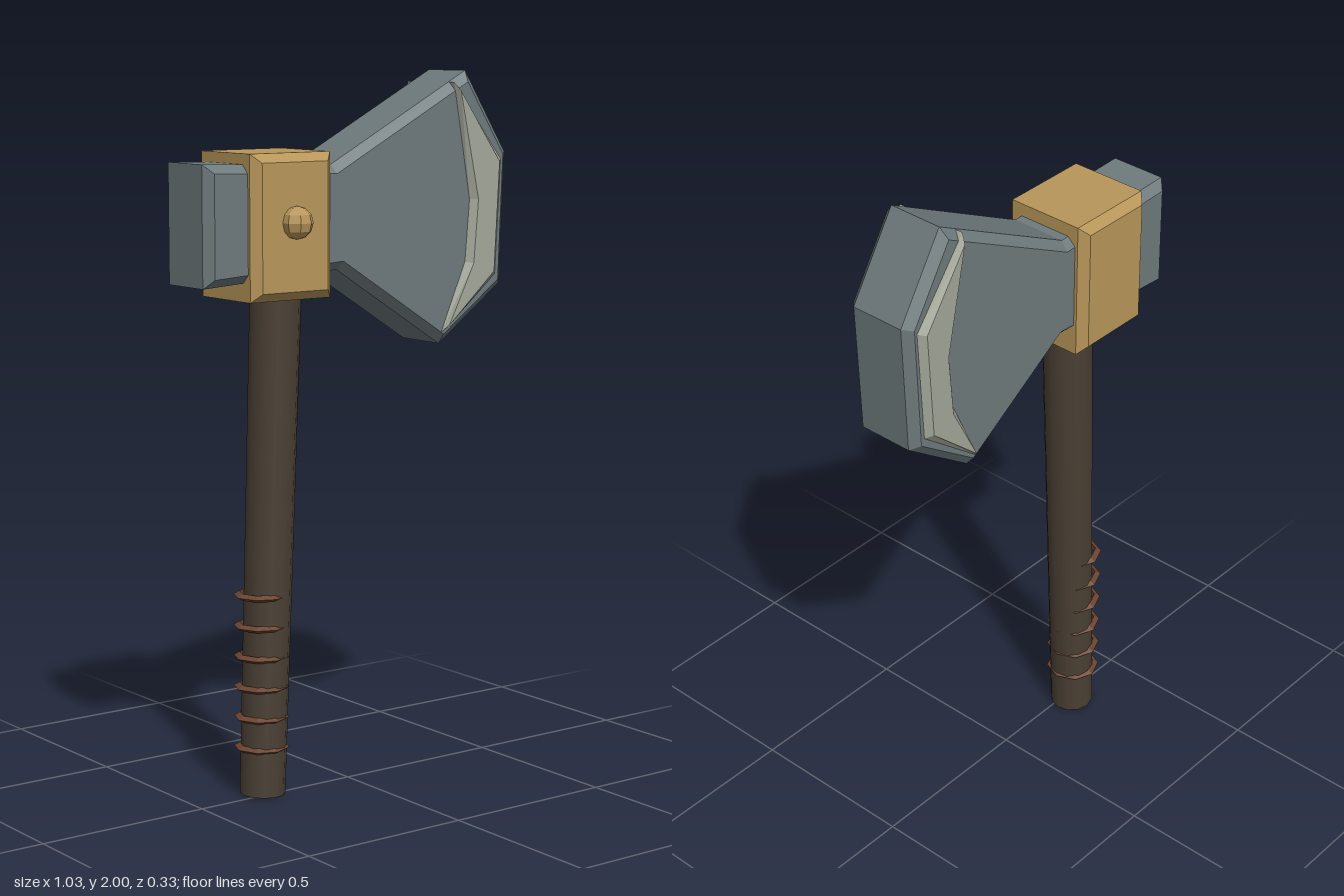
import * as THREE from 'three';

const ZC = -0.026; // middle plane of the axe
const mat = (color, flatShading = true) => {
  const m = new THREE.MeshStandardMaterial({ color });
  m.flatShading = flatShading;
  return m;
};

// Chamfered slab: outline is the outer edge, half is the half thickness
function slab(name, points, half, bevel, material) {
  const shape = new THREE.Shape(points.map(([x, y]) => new THREE.Vector2(x, y)));
  const geo = new THREE.ExtrudeGeometry(shape, {
    depth: 2 * (half - bevel), bevelEnabled: true, bevelSegments: 1,
    bevelSize: bevel, bevelThickness: bevel, bevelOffset: -bevel,
  });
  geo.translate(0, 0, ZC - half + bevel);
  const mesh = new THREE.Mesh(geo, material);
  mesh.name = name;
  return mesh;
}

export function createModel() {
  const axe = new THREE.Group();
  axe.name = 'axe';
  const steel = mat(0x6e7a7c), brass = mat(0xb8965a), edge = mat(0xa3a799);
  const wood = mat(0x4a4034, false), cord = mat(0x6b4430);

  // Head: square poll on the left, flared blade on the right
  axe.add(slab('head', [
    [-0.518, 1.437], [-0.08, 1.465], [0.28, 1.235], [0.5, 1.395],
    [0.516, 1.77], [0.37, 2.0], [-0.1, 1.752], [-0.518, 1.765],
  ], 0.105, 0.024, steel));

  // Pale cutting edge standing proud of both blade faces
  axe.add(slab('cuttingEdge', [
    [0.27, 1.27], [0.465, 1.425], [0.483, 1.75], [0.312, 1.968],
    [0.37, 1.64], [0.355, 1.465],
  ], 0.123, 0.018, edge));

  // Collar wrapped around the head
  axe.add(slab('collar', [
    [-0.389, 1.395], [-0.126, 1.395], [-0.126, 1.79], [-0.389, 1.79],
  ], 0.138, 0.024, brass));

  // Stud on the collar front
  const stud = new THREE.Mesh(new THREE.SphereGeometry(0.045, 8, 6), brass);
  stud.name = 'stud';
  stud.rotation.y = Math.PI / 8;
  stud.position.set(-0.258, 1.605, 0.12);
  axe.add(stud);

  // Slightly leaning, tapered handle
  const foot = new THREE.Vector3(-0.283, 0.003, -0.02);
  const top = new THREE.Vector3(-0.224, 1.55, -0.022);
  const axis = top.clone().sub(foot);
  const handle = new THREE.Mesh(
    new THREE.CylinderGeometry(0.072, 0.064, axis.length(), 12), wood);
  handle.name = 'handle';
  handle.position.copy(foot).add(top).multiplyScalar(0.5);
  handle.quaternion.setFromUnitVectors(new THREE.Vector3(0, 1, 0), axis.normalize());
  axe.add(handle);

  // Upright stack of grip rings
  const grip = new THREE.Group();
  grip.name = 'grip';
  const ringGeo = new THREE.TorusGeometry(0.067, 0.011, 3, 8);
  for (let i = 0; i < 6; i++) {
    const ring = new THREE.Mesh(ringGeo, cord);
    ring.name = 'gripRing';
    ring.rotation.x = Math.PI / 2;
    ring.position.set(-0.283, 0.137 + i * 0.0865, -0.022);
    grip.add(ring);
  }
  axe.add(grip);
  return axe;
}
